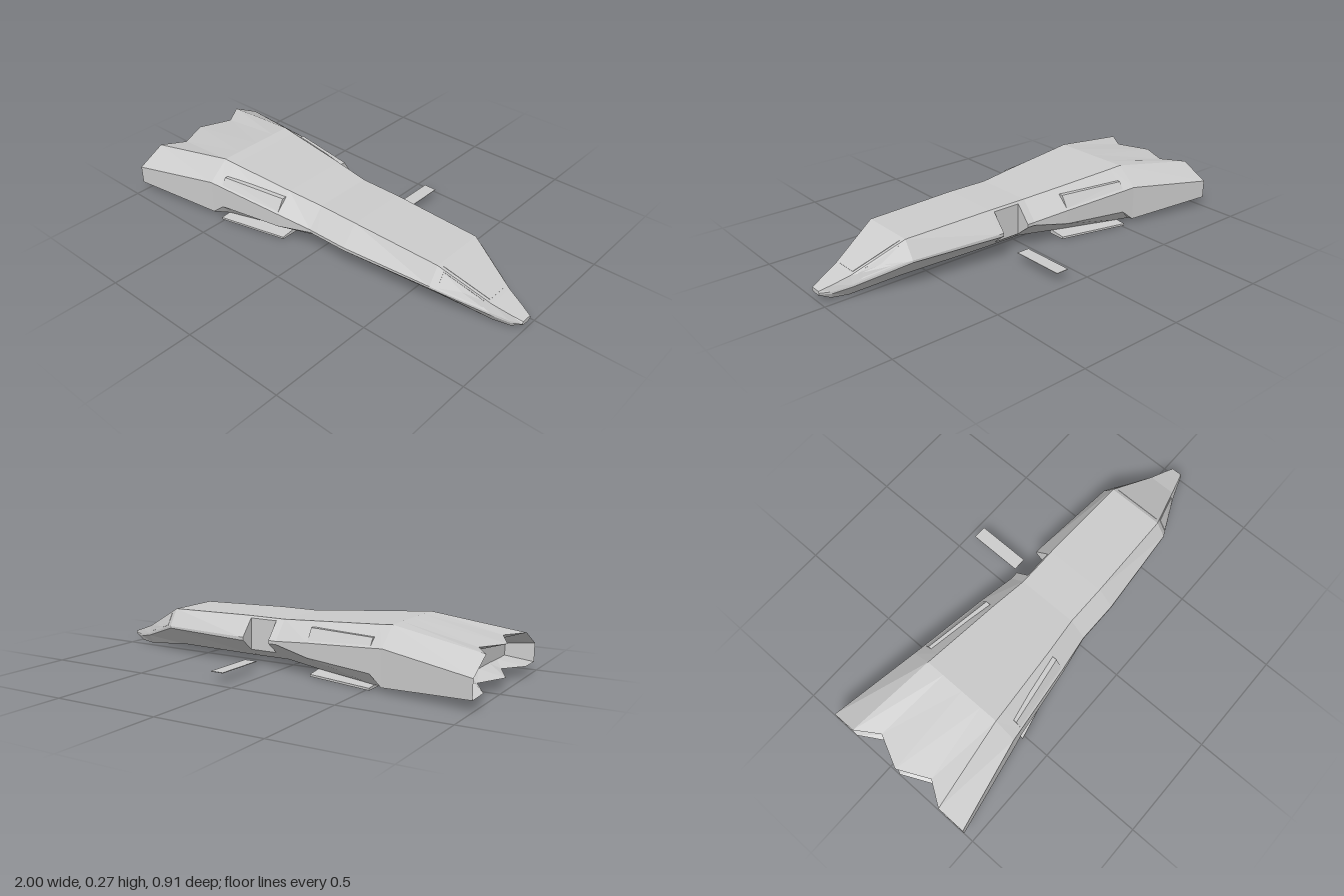
import * as THREE from 'three';

const CENTRE_Z = 0.068; // the hull's own mirror plane
const material = new THREE.MeshStandardMaterial({ color: 0xcccccc, flatShading: true, side: THREE.DoubleSide });

// Skin a list of equal-length rings of [x, y, z] and close both ends.
function loft(name, rings) {
  const pos = [];
  const tri = (a, b, c) => pos.push(...a, ...b, ...c);
  const n = rings[0].length;
  const middle = (ring) => [0, 1, 2].map((k) => ring.reduce((s, p) => s + p[k], 0) / n);
  const first = rings[0], last = rings[rings.length - 1];
  const m0 = middle(first), m1 = middle(last);
  for (let j = 0; j < n; j++) {
    const k = (j + 1) % n;
    for (let i = 0; i < rings.length - 1; i++) {
      const a = rings[i][j], b = rings[i][k], c = rings[i + 1][k], d = rings[i + 1][j];
      tri(a, d, b);
      tri(d, c, b);
    }
    tri(m0, first[j], first[k]);
    tri(m1, last[k], last[j]);
  }
  const geometry = new THREE.BufferGeometry();
  geometry.setAttribute('position', new THREE.Float32BufferAttribute(pos, 3));
  geometry.computeVertexNormals();
  const mesh = new THREE.Mesh(geometry, material);
  mesh.name = name;
  return mesh;
}

// Full ring from half a section: each point is [halfWidth, y, x], bottom centre to top centre.
function mirrorRing(half, otherHalf = half) {
  const plus = half.map(([w, y, x]) => [x, y, w]);
  const minus = otherHalf.slice(1, -1).reverse().map(([w, y, x]) => [x, y, -w]);
  return [...plus, ...minus];
}

// Half section: bottom edge, lower wall, widest line and deck edge.
function section(x, bottom, low, wide, top) {
  return [[0, bottom[1]], [bottom[0] * 0.5, bottom[1]], bottom, low, wide, top, [top[0] * 0.55, top[1]], [0, top[1]]]
    .map(([w, y]) => [w, y, x]);
}

function createHull() {
  // zigzag trailing edge and the hollow behind it
  const rear = [
    [0, 0.055, -1], [0.148, 0.055, -0.93], [0.268, 0.05, -1], [0.387, 0.048, -1],
    [0.387, 0.135, -1], [0.255, 0.205, -1], [0.148, 0.205, -0.93], [0, 0.2, -1],
  ];
  const hollow = rear.map(([w, y]) => [w * 0.86, 0.125 + (y - 0.125) * 0.65, -0.88]);

  const mid = (x) => section(x, [0.11, 0.035], [0.222, 0.125], [0.222, 0.14], [0.145, 0.23]);
  // doorway cut into one side only
  const cut = mid(0).map((p) => p.slice());
  cut[3] = [0.153, 0.07, 0];
  cut[4] = [0.153, 0.22, 0];
  const doorway = (x) => mirrorRing(mid(x), cut.map(([w, y]) => [w, y, x]));

  return loft('hull', [
    mirrorRing(hollow),
    mirrorRing(rear),
    mirrorRing(section(-0.57, [0.27, 0.015], [0.3, 0.02], [0.3, 0.185], [0.2, 0.27])),
    mirrorRing(section(-0.51, [0.25, 0.015], [0.292, 0.07], [0.292, 0.18], [0.195, 0.265])),
    mirrorRing(section(-0.18, [0.15, 0.022], [0.25, 0.09], [0.25, 0.157], [0.165, 0.243])),
    mirrorRing(mid(0)),
    mirrorRing(mid(0.04)), doorway(0.04), doorway(0.18), mirrorRing(mid(0.18)),
    mirrorRing(mid(0.2)),
    mirrorRing(section(0.64, [0.09, 0.035], [0.185, 0.13], [0.185, 0.14], [0.135, 0.22])),
    mirrorRing(section(0.87, [0.045, 0.004], [0.078, 0.052], [0.077, 0.062], [0.065, 0.1])),
    mirrorRing(section(0.95, [0.035, 0.012], [0.048, 0.036], [0.048, 0.045], [0.042, 0.072])),
    mirrorRing(section(1, [0.02, 0.035], [0.03, 0.042], [0.03, 0.048], [0.025, 0.055])),
  ]);
}

// Thin plate on a four-sided face, shrunk towards its middle and lifted along its normal.
function facePanel(name, corners, shrink, lift) {
  const p = corners.map((c) => new THREE.Vector3(...c));
  const centre = p.reduce((s, v) => s.add(v), new THREE.Vector3()).multiplyScalar(0.25);
  const normal = p[2].clone().sub(p[0]).cross(p[3].clone().sub(p[1])).normalize();
  if (normal.y < 0) normal.negate();
  const ring = (h) => p.map((v) => v.clone().lerp(centre, shrink).addScaledVector(normal, h).toArray());
  return loft(name, [ring(-0.004), ring(lift)]);
}

export function createModel() {
  const model = new THREE.Group();
  model.name = 'spacecraft';
  const body = new THREE.Group();
  body.name = 'body';
  body.position.z = CENTRE_Z;
  model.add(body);
  body.add(createHull());

  // cockpit glazing
  body.add(facePanel('windshield',
    [[0.64, 0.22, 0.135], [0.64, 0.22, -0.135], [0.87, 0.1, -0.065], [0.87, 0.1, 0.065]], 0.14, 0.002));

  for (const [side, s] of [['left', 1], ['right', -1]]) {
    body.add(facePanel(side + 'SideWindow',
      [[0.64, 0.14, 0.185 * s], [0.64, 0.22, 0.135 * s], [0.87, 0.1, 0.065 * s], [0.87, 0.062, 0.077 * s]], 0.25, 0.002));

    // long raised box on the shoulder
    const box = (x, inner, outer, foot, y) =>
      [[x, y, foot * s], [x, 0.22, outer * s], [x, 0.22, inner * s], [x, y, inner * s]];
    body.add(loft(side + 'ShoulderBox', [
      box(-0.51, 0.235, 0.262, 0.286, 0.184),
      box(-0.18, 0.18, 0.21, 0.242, 0.165),
    ]));

    // flat skid below the flank
    const skid = (x, inner, outer) =>
      [[x, 0, inner * s], [x, 0, outer * s], [x, 0.01, outer * s], [x, 0.022, inner * s]];
    body.add(loft(side + 'Skid', [skid(-0.515, 0.16, 0.3), skid(-0.18, 0.132, 0.22)]));
  }

  // detached boarding step beside the doorway
  const step = new THREE.Mesh(new THREE.BoxGeometry(0.064, 0.003, 0.26), material);
  step.name = 'boardingStep';
  step.position.set(0.107, 0.046, -0.328);
  model.add(step);
  return model;
}
